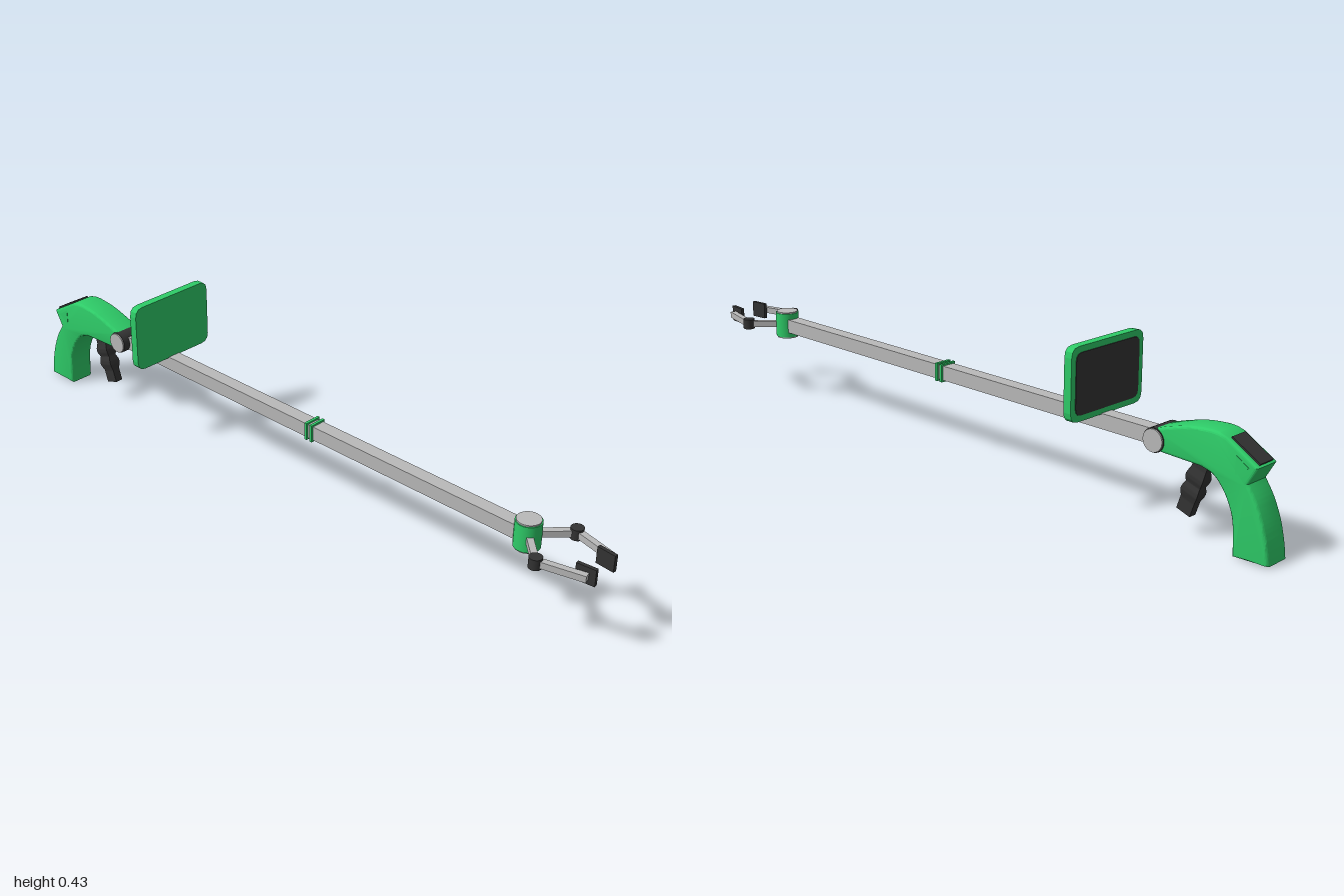
import * as THREE from 'three';
import { toCreasedNormals } from 'three/addons/utils/BufferGeometryUtils.js';

const material = (name, color) => {
  const m = new THREE.MeshStandardMaterial({ color });
  m.name = name;
  return m;
};
const V2 = (x, y) => new THREE.Vector2(x, y);

// Rounded rectangle centred on the origin
function roundedRect(w, h, r) {
  const s = new THREE.Shape(), x = w / 2, y = h / 2;
  s.moveTo(-x + r, -y);
  s.lineTo(x - r, -y).quadraticCurveTo(x, -y, x, -y + r);
  s.lineTo(x, y - r).quadraticCurveTo(x, y, x - r, y);
  s.lineTo(-x + r, y).quadraticCurveTo(-x, y, -x, y - r);
  s.lineTo(-x, -y + r).quadraticCurveTo(-x, -y, -x + r, -y);
  return s;
}

// Extrude a side profile drawn in (z, y) to a given width across x
function sideExtrude(shape, width, bevel = 0) {
  const g = new THREE.ExtrudeGeometry(shape, {
    depth: width - 2 * bevel, curveSegments: 8, bevelEnabled: bevel > 0,
    bevelSize: bevel, bevelThickness: bevel, bevelOffset: -bevel, bevelSegments: 3,
  });
  g.translate(0, 0, -(width - 2 * bevel) / 2);
  g.rotateY(-Math.PI / 2);
  return toCreasedNormals(g, 0.6);
}

export function createModel() {
  const model = new THREE.Group();
  model.name = 'reacherGrabber';
  const green = material('green', 0x2ecc68);
  const grey = material('grey', 0xb9b9b9);
  const dark = material('dark', 0x333333);
  const axisY = 0.223;

  const add = (name, geometry, mat, x = 0, y = 0, z = 0, parent = model) => {
    const mesh = new THREE.Mesh(geometry, mat);
    mesh.name = name;
    mesh.position.set(x, y, z);
    parent.add(mesh);
    return mesh;
  };

  // Square shaft with a pair of thin bands at the middle
  add('shaft', new THREE.BoxGeometry(0.039, 0.04, 1.42), grey, 0, axisY, 0.06);
  for (const z of [0.079, 0.097]) {
    add('shaftBand', new THREE.BoxGeometry(0.05, 0.05, 0.008), green, 0, axisY, z);
  }

  // Pistol-grip handle
  const grip = new THREE.Shape();
  grip.moveTo(-0.665, 0.253);
  grip.splineThru([V2(-0.71, 0.268), V2(-0.767, 0.283), V2(-0.82, 0.289), V2(-0.85, 0.288)]);
  grip.lineTo(-0.87, 0.282);
  grip.lineTo(-0.96, 0.23);
  grip.lineTo(-0.934, 0.185);
  grip.splineThru([V2(-0.96, 0.145), V2(-0.981, 0.096), V2(-0.994, 0.045), V2(-1, 0.004)]);
  grip.lineTo(-0.902, 0);
  grip.splineThru([V2(-0.897, 0.08), V2(-0.883, 0.125), V2(-0.861, 0.16), V2(-0.835, 0.184), V2(-0.8, 0.194)]);
  grip.lineTo(-0.68, 0.198);
  grip.closePath();
  add('handle', sideExtrude(grip, 0.076, 0.007), green);

  // Sloping display on top of the handle
  const display = add('handleDisplay', new THREE.BoxGeometry(0.05, 0.008, 0.092), dark, 0, 0.2567, -0.915);
  display.rotation.x = -Math.atan2(0.052, 0.09);

  // Raised triangle on each side of the handle
  const triangle = new THREE.Shape([V2(-0.9, 0.248), V2(-0.936, 0.225), V2(-0.9, 0.2)]);
  for (const side of [1, -1]) {
    add('sideTriangle', sideExtrude(triangle, 0.003), green, side * 0.0375);
  }

  // Pivot joint between shaft and handle
  const pivot = new THREE.CylinderGeometry(0.031, 0.031, 0.08, 24).rotateZ(Math.PI / 2);
  add('pivotBarrel', pivot, dark, 0, 0.224, -0.665);
  for (const side of [1, -1]) {
    const cap = new THREE.CylinderGeometry(0.029, 0.029, 0.006, 24).rotateZ(Math.PI / 2);
    add('pivotCap', cap, grey, side * 0.041, 0.224, -0.665);
  }

  // Trigger with two finger swells
  const trig = new THREE.BoxGeometry(2, 0.15, 2, 1, 28, 1);
  const p = trig.attributes.position;
  const swell = (t, c) => Math.abs(t - c) < 0.14 ? Math.cos((t - c) / 0.28 * Math.PI) : 0;
  for (let i = 0; i < p.count; i++) {
    const t = 0.5 - p.getY(i) / 0.15;
    const b = swell(t, 0.33) + swell(t, 0.6);
    p.setX(i, p.getX(i) * (0.0115 + 0.006 * b));
    p.setZ(i, p.getZ(i) * (0.021 + 0.004 * b));
  }
  const trigger = add('trigger', toCreasedNormals(trig, 0.6), dark, 0, 0.126, -0.763);
  trigger.rotation.x = -0.325;

  // Tablet screen standing on the shaft
  const tablet = new THREE.Group();
  tablet.name = 'screen';
  tablet.position.set(0, 0.3355, -0.486);
  model.add(tablet);
  const plate = (w, h, r, depth) => new THREE.ExtrudeGeometry(
    roundedRect(w, h, r), { depth, bevelEnabled: false, curveSegments: 3 });
  add('screenBody', plate(0.266, 0.19, 0.026, 0.023), green, 0, 0, 0, tablet);
  add('screenPanel', plate(0.234, 0.158, 0.02, 0.004), dark, 0, 0, -0.002, tablet);
  add('screenFoot', new THREE.BoxGeometry(0.036, 0.01, 0.016), green, 0, -0.0915, 0.0115, tablet);

  // Hub at the front end
  const hubZ = 0.78;
  add('hub', new THREE.CylinderGeometry(0.034, 0.034, 0.072, 28), green, 0, 0.224, hubZ);
  add('hubPin', new THREE.CylinderGeometry(0.031, 0.031, 0.08, 28), grey, 0, 0.224, hubZ);

  // Bar lying between two (x, z) points at shaft height
  const bar = (name, a, b, parent) => {
    const d = b.clone().sub(a);
    const mesh = add(name, new THREE.BoxGeometry(0.017, 0.018, d.length()), grey,
      (a.x + b.x) / 2, axisY, (a.y + b.y) / 2, parent);
    mesh.rotation.y = Math.atan2(d.x, d.y);
  };

  // Mirrored jaws: arm, elbow, finger and pad
  for (const s of [1, -1]) {
    const jaw = new THREE.Group();
    jaw.name = s > 0 ? 'leftJaw' : 'rightJaw';
    model.add(jaw);
    const elbow = V2(s * 0.083, 0.862);
    bar('arm', V2(s * 0.018, 0.797), elbow, jaw);
    add('elbow', new THREE.CylinderGeometry(0.017, 0.017, 0.029, 16), dark, elbow.x, axisY, elbow.y, jaw);
    bar('finger', elbow, V2(s * 0.053, 0.984), jaw);
    const pad = add('pad', new THREE.BoxGeometry(0.01, 0.046, 0.052), dark, s * 0.041, axisY, 0.973, jaw);
    pad.rotation.y = -s * 0.1;
  }

  return model;
}
